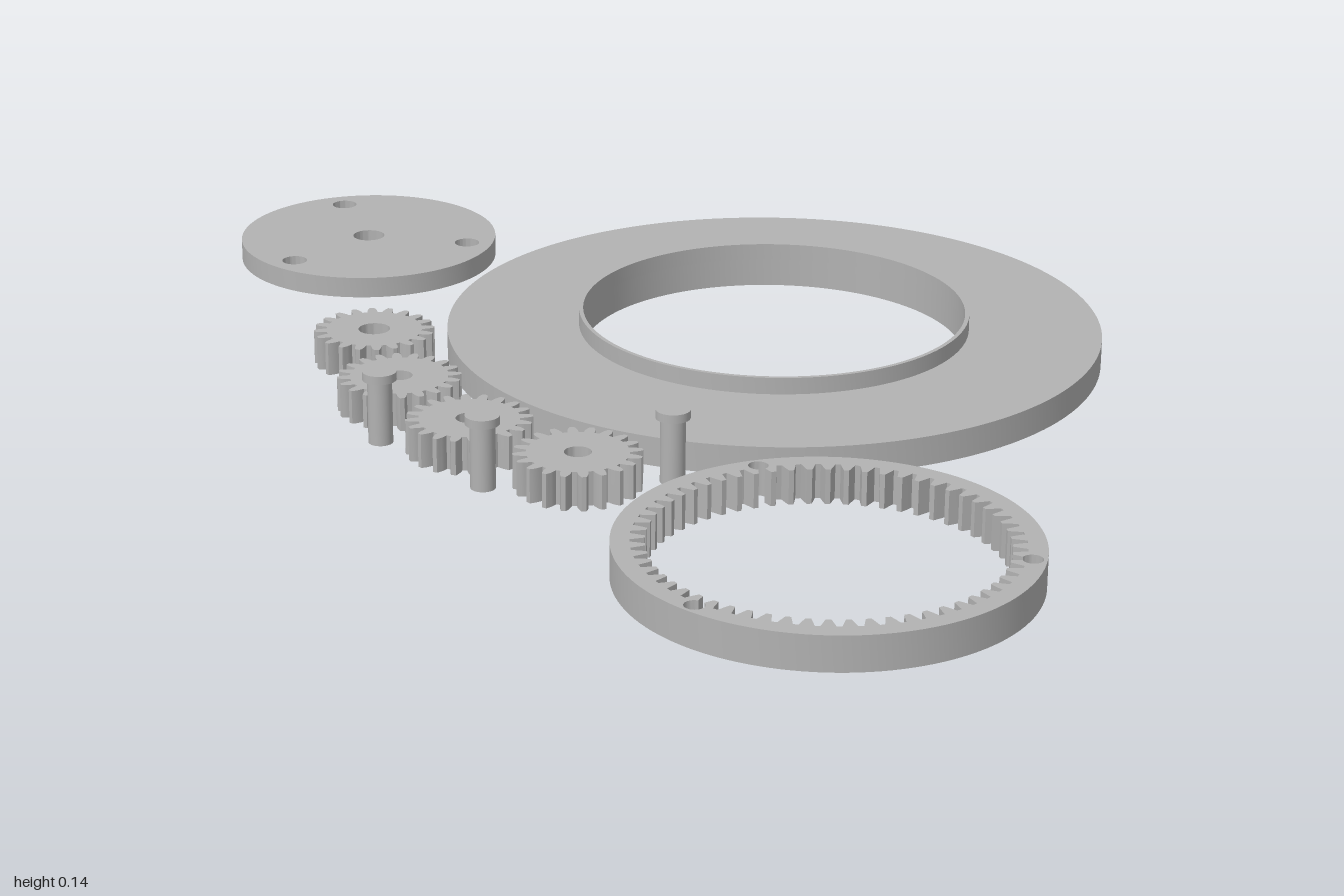
import * as THREE from 'three';
import { toCreasedNormals } from 'three/addons/utils/BufferGeometryUtils.js';

const gray = new THREE.MeshStandardMaterial({ color: 0xb2b2b2 });
gray.name = 'light gray';

const rad = THREE.MathUtils.degToRad;
const polar = (r, deg) => new THREE.Vector2(r * Math.cos(rad(deg)), r * Math.sin(rad(deg)));

function circle(r, x = 0, y = 0) {
  return new THREE.Path().absarc(x, y, r, 0, Math.PI * 2, false);
}

function disc(r, holes = []) {
  const shape = new THREE.Shape().absarc(0, 0, r, 0, Math.PI * 2, false);
  shape.holes.push(...holes);
  return shape;
}

// Flat part lying on the ground plane, extruded upwards
function plate(name, shape, height, x, z, y = 0, segments = 48) {
  const geo = new THREE.ExtrudeGeometry(shape, { depth: height, bevelEnabled: false, curveSegments: segments });
  geo.rotateX(-Math.PI / 2);
  const mesh = new THREE.Mesh(toCreasedNormals(geo, rad(25)), gray);
  mesh.name = name;
  mesh.position.set(x, y, z);
  return mesh;
}

// Outline of a spur gear with 20 teeth
function gearShape(holeRadius) {
  const teeth = 20, step = 360 / teeth;
  const flank = [[0.091, 6.2], [0.098, 5.5], [0.1045, 4.5], [0.11, 3.3], [0.1145, 2.1]];
  const pts = [];
  for (let i = 0; i < teeth; i++) {
    for (const [r, a] of flank) pts.push(polar(r, i * step - a));
    for (const [r, a] of [...flank].reverse()) pts.push(polar(r, i * step + a));
  }
  const shape = new THREE.Shape(pts);
  shape.holes.push(circle(holeRadius));
  return shape;
}

// Inner outline of the ring gear: 60 gaps, three of them widened by a round screw notch
function ringHole() {
  const gaps = 60, step = 360 / gaps;
  const flank = [[0.302, 2.15], [0.313, 1.5]];
  const pts = [];
  for (let i = 0; i < gaps; i++) {
    const a0 = i * step;
    for (const [r, a] of flank) pts.push(polar(r, a0 - a));
    if (i % 20 === 0) {
      for (let t = -160; t <= 160; t += 20) {
        const p = polar(0.018, t).add(new THREE.Vector2(0.336, 0));
        pts.push(p.rotateAround(new THREE.Vector2(), rad(a0)));
      }
    } else {
      pts.push(polar(0.327, a0 - 0.8), polar(0.327, a0 + 0.8));
    }
    for (const [r, a] of [...flank].reverse()) pts.push(polar(r, a0 + a));
  }
  return new THREE.Path(pts);
}

// Headed pin standing upright
function pin(x, z) {
  const group = new THREE.Group();
  group.name = 'pin';
  const shaft = new THREE.Mesh(new THREE.CylinderGeometry(0.0225, 0.0225, 0.121, 32), gray);
  shaft.name = 'pinShaft';
  shaft.position.y = 0.0605;
  const head = new THREE.Mesh(new THREE.CylinderGeometry(0.031, 0.031, 0.016, 32), gray);
  head.name = 'pinHead';
  head.position.y = 0.129;
  group.add(shaft, head);
  group.position.set(x, 0, z);
  return group;
}

export function createModel() {
  const model = new THREE.Group();
  model.name = 'planetaryGearKit';

  // Large base plate with a raised lip around its opening
  model.add(plate('basePlate', disc(0.625, [circle(0.365)]), 0.055, 0.27, -0.375, 0, 96));
  model.add(plate('baseLip', disc(0.373, [circle(0.365)]), 0.032, 0.27, -0.375, 0.055, 96));

  // Carrier disc with a centre hole and three pin holes
  const carrierHoles = [circle(0.032)];
  for (const a of [0, 120, 240]) {
    const p = polar(0.209, a);
    carrierHoles.push(circle(0.025, p.x, p.y));
  }
  model.add(plate('carrierDisc', disc(0.261, carrierHoles), 0.041, -0.639, -0.74));

  // Ring gear
  model.add(plate('ringGear', disc(0.36, [ringHole()]), 0.064, 0.536, 0.64, 0, 64));

  // Sun gear and three planet gears
  model.add(plate('sunGear', gearShape(0.03), 0.064, -0.462, -0.155, 0, 24));
  for (const [x, z] of [[-0.351, 0.07], [-0.174, 0.244], [0.05, 0.356]]) {
    model.add(plate('planetGear', gearShape(0.0245), 0.064, x, z, 0, 24));
  }

  // Loose pins
  for (const [x, z] of [[-0.341, 0.236], [-0.11, 0.4], [0.208, 0.302]]) model.add(pin(x, z));

  return model;
}
